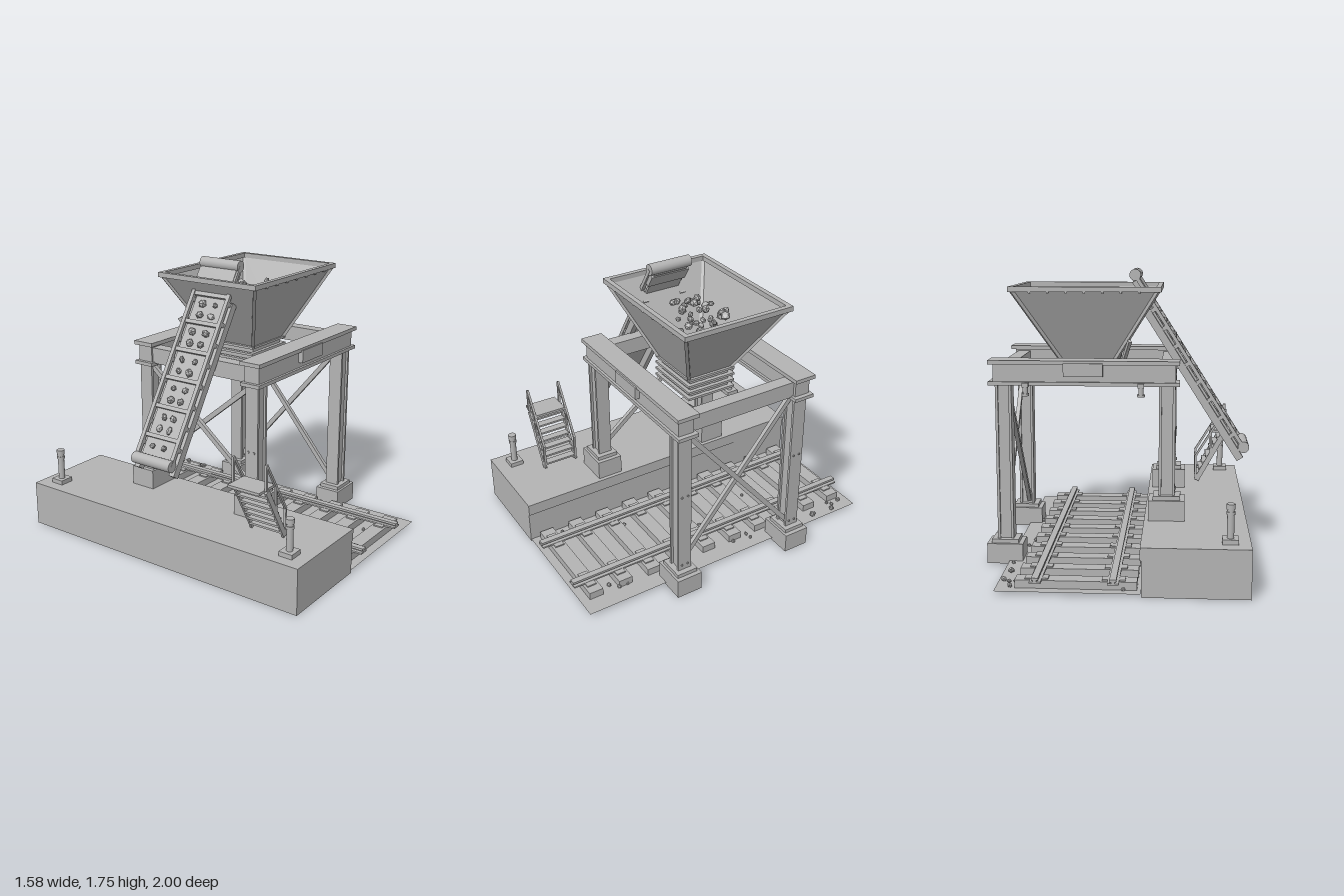
import * as THREE from 'three';

const grey = new THREE.MeshStandardMaterial({ color: 0xb4b4b4, side: THREE.DoubleSide });
grey.name = 'plain grey';

let seed = 7;
const rnd = () => (seed = (seed * 16807) % 2147483647) / 2147483647;
const V = (x, y, z) => new THREE.Vector3(x, y, z);

export function createModel() {
  const root = new THREE.Group();
  root.name = 'hopperLoadingStation';

  const add = (name, geo, parent = root) => {
    const m = new THREE.Mesh(geo, grey);
    m.name = name;
    parent.add(m);
    return m;
  };
  // box from min/max extents
  const box = (name, x0, x1, y0, y1, z0, z1, parent) => {
    const m = add(name, new THREE.BoxGeometry(x1 - x0, y1 - y0, z1 - z0), parent);
    m.position.set((x0 + x1) / 2, (y0 + y1) / 2, (z0 + z1) / 2);
    return m;
  };
  // rectangular bar between two points
  const bar = (name, p, q, w, h, parent) => {
    const m = add(name, new THREE.BoxGeometry(w, h, p.distanceTo(q)), parent);
    m.position.copy(p).add(q).multiplyScalar(0.5);
    m.lookAt(q);
    return m;
  };
  const cyl = (name, x, y, z, r, h, parent, sides = 16) => {
    const m = add(name, new THREE.CylinderGeometry(r, r, h, sides), parent);
    m.position.set(x, y, z);
    return m;
  };
  const rock = (name, x, y, z, r, parent) => {
    const g = new THREE.IcosahedronGeometry(r, 0);
    g.scale(0.7 + rnd() * 0.6, 0.7 + rnd() * 0.6, 0.7 + rnd() * 0.6);
    g.computeVertexNormals();
    const m = add(name, g, parent);
    m.position.set(x, y, z);
    m.rotation.set(rnd() * 6, rnd() * 6, rnd() * 6);
  };
  // rectangular rings [y, x0, x1, halfZ] joined into flat walls
  const rectLoft = (name, rings, parent) => {
    const pos = [];
    const ring = ([y, x0, x1, z]) => [V(x0, y, z), V(x1, y, z), V(x1, y, -z), V(x0, y, -z)];
    for (let i = 0; i < rings.length - 1; i++) {
      const a = ring(rings[i]), b = ring(rings[i + 1]);
      for (let k = 0; k < 4; k++) {
        const n = (k + 1) % 4;
        [a[k], a[n], b[n], a[k], b[n], b[k]].forEach(v => pos.push(v.x, v.y, v.z));
      }
    }
    const g = new THREE.BufferGeometry();
    g.setAttribute('position', new THREE.Float32BufferAttribute(pos, 3));
    g.computeVertexNormals();
    return add(name, g, parent);
  };
  // rectangular frame of four bars
  const frame = (name, x0, x1, y0, y1, z, t, parent) => {
    for (const s of [-1, 1]) box(name, x0, x1, y0, y1, s * z - t / 2, s * z + t / 2, parent);
    box(name, x0 - t / 2, x0 + t / 2, y0, y1, -z - t / 2, z + t / 2, parent);
    box(name, x1 - t / 2, x1 + t / 2, y0, y1, -z - t / 2, z + t / 2, parent);
  };
  const group = (name) => {
    const g = new THREE.Group();
    g.name = name;
    root.add(g);
    return g;
  };

  // loading dock
  box('dockBody', -0.765, -0.165, 0, 0.208, -1, 1);
  box('dockSlab', -0.765, -0.157, 0.208, 0.282, -1, 1);

  // ground and track
  const track = group('track');
  const ground = add('ground', new THREE.PlaneGeometry(0.81, 2).rotateX(-Math.PI / 2), track);
  ground.position.set(0.245, 0.018, 0);
  for (let i = 0; i < 10; i++) {
    const z = -0.9 + i * 0.2;
    box('sleeper', -0.14, 0.54, 0.02, 0.066, z - 0.045, z + 0.045, track);
    for (const x of [-0.01, 0.42]) box('tiePlate', x - 0.065, x + 0.065, 0.066, 0.074, z - 0.03, z + 0.03, track);
  }
  for (const x of [-0.01, 0.42]) {
    box('railFoot', x - 0.032, x + 0.032, 0.066, 0.076, -1, 1, track);
    box('railWeb', x - 0.01, x + 0.01, 0.074, 0.086, -1, 1, track);
    box('railHead', x - 0.019, x + 0.019, 0.084, 0.098, -1, 1, track);
  }
  for (let i = 0; i < 26; i++) rock('gravel', -0.12 + rnd() * 0.74, 0.025, -0.95 + rnd() * 1.9, 0.012, track);
  for (let i = 0; i < 6; i++) rock('gravel', 0.56 + rnd() * 0.06, 0.03, -0.95 + rnd() * 0.28, 0.016, track);

  // legs, footings and cross bracing
  const steel = group('supportFrame');
  for (const [x, y0] of [[0.677, 0], [-0.29, 0.282]]) {
    for (const z of [-0.4, 0.4]) {
      box('footing', x - 0.108, x + 0.108, y0, y0 + 0.122, z - 0.083, z + 0.083, steel);
      box('footingCap', x - 0.081, x + 0.081, y0 + 0.122, y0 + 0.146, z - 0.068, z + 0.068, steel);
      for (const s of [-1, 1])
        box('legFlange', x + s * 0.04 - 0.008, x + s * 0.04 + 0.008, y0 + 0.14, 1.085, z - 0.044, z + 0.044, steel);
      box('legWeb', x - 0.035, x + 0.035, y0 + 0.14, 1.085, z - 0.03, z + 0.03, steel);
      for (const y of [y0 + 0.18, 0.675]) for (const dz of [-0.02, 0.02])
        cyl('legBolt', x + Math.sign(x) * 0.05, y, z + dz, 0.007, 0.008, steel, 6).rotation.z = Math.PI / 2;
    }
    for (const s of [-1, 1]) {
      const bx = x + s * 0.014;
      bar('brace', V(bx, y0 + 0.17, -s * 0.38), V(bx, 1.08, s * 0.38), 0.026, 0.03, steel);
    }
    // cross beams
    box('crossBeam', x - 0.04, x + 0.04, 1.097, 1.195, -0.36, 0.36, steel);
  }
  // long beams
  for (const s of [-1, 1]) {
    const z = s * 0.4;
    box('beamLowerFlange', -0.363, 0.762, 1.082, 1.104, z - 0.066, z + 0.066, steel);
    box('beamUpperFlange', -0.363, 0.762, 1.206, 1.23, z - 0.07, z + 0.07, steel);
    box('beamWeb', -0.34, 0.735, 1.1, 1.21, z - 0.05, z + 0.05, steel);
    box('beamPlate', 0.085, 0.317, 1.138, 1.216, z + s * 0.045 - 0.035, z + s * 0.045 + 0.035, steel);
  }
  // hanging lamps under the back beam
  for (const x of [-0.137, 0.54]) {
    box('lampBracket', x - 0.018, x + 0.018, 1.075, 1.1, -0.485, -0.44, steel);
    cyl('lampStem', x, 1.06, -0.47, 0.015, 0.06, steel);
    cyl('lampHead', x, 1.03, -0.47, 0.023, 0.014, steel);
  }

  // hopper
  const hopper = group('hopper');
  const top = { y: 1.635, x0: -0.235, x1: 0.64, z: 0.345 }, bot = { y: 1.2, x0: 0.035, x1: 0.37, z: 0.15 };
  rectLoft('hopperWalls', [
    [1.04, 0.05, 0.355, 0.138], [1.19, 0.05, 0.355, 0.138],
    [bot.y, bot.x0, bot.x1, bot.z], [top.y, top.x0, top.x1, top.z]], hopper);
  frame('hopperRim', top.x0, top.x1, 1.622, 1.652, top.z, 0.03, hopper);
  for (const k of ['x0', 'x1']) for (const s of [-1, 1])
    bar('hopperCornerRib', V(bot[k], bot.y, s * bot.z), V(top[k], top.y, s * top.z), 0.02, 0.02, hopper);
  for (let i = 0; i < 7; i++) for (const s of [-1, 1])
    cyl('rimBolt', -0.12 + i * 0.108, 1.618, s * 0.35, 0.007, 0.014, hopper, 6).rotation.x = Math.PI / 2;
  // ribbed outlet
  for (let i = 0; i < 4; i++) {
    const y = 1.062 + i * 0.042;
    frame('outletRing', 0.025, 0.375, y, y + 0.014, 0.148, 0.026, hopper);
  }
  for (let i = 0; i < 4; i++) box('grateBar', 0.05, 0.355, 1.15, 1.18, -0.1 + i * 0.06, -0.08 + i * 0.06, hopper);
  // gate lever
  bar('gateLever', V(-0.065, 1.335, -0.345), V(-0.02, 1.2, -0.25), 0.02, 0.026, hopper);
  bar('gateLink', V(-0.02, 1.2, -0.25), V(0.05, 1.06, -0.14), 0.014, 0.014, hopper);
  // falling ore
  for (let i = 0; i < 36; i++) {
    const a = rnd() * 6.28, r = 0.04 + rnd() * 0.19;
    rock('ore', 0.2 + r * Math.cos(a), 1.4 + rnd() * 0.16, r * Math.sin(a) * 0.9, 0.018 + rnd() * 0.008, hopper);
  }

  // conveyor: local x runs up the slope, local y points out of the belt
  const conveyor = group('conveyor');
  conveyor.position.set(-0.757, 0.66, 0);
  conveyor.rotation.z = Math.atan2(1.055, 0.672);
  const L = 1.25;
  box('belt', 0, L - 0.02, -0.034, -0.02, -0.115, 0.115, conveyor);
  for (const s of [-1, 1]) {
    const z = s * 0.13;
    box('sideBeam', -0.05, 1.03, -0.08, -0.034, z - 0.018, z + 0.018, conveyor);
    box('sideRail', 0, L, -0.012, 0.01, z - 0.012, z + 0.012, conveyor);
    for (let i = 0; i < 8; i++) box('railPost', 0.09 + i * 0.13, 0.115 + i * 0.13, -0.036, -0.01, z - 0.01, z + 0.01, conveyor);
  }
  for (let i = 0; i < 6; i++) {
    const x = 0.15 + i * 0.18;
    box('cleat', x - 0.012, x + 0.012, -0.022, 0.004, -0.125, 0.125, conveyor);
    for (const dx of [-0.1, 0.08]) for (const z of [-0.045, 0.045])
      rock('beltOre', x + dx * 0.6, -0.006, z + (rnd() - 0.5) * 0.03, 0.022, conveyor);
  }
  for (const x of [0, L]) cyl('drum', x, 0, 0, 0.035, 0.28, conveyor, 20).rotation.x = Math.PI / 2;
  box('headHood', L - 0.12, L - 0.03, -0.04, 0.014, -0.13, 0.13, conveyor);

  // stairs
  const stairs = group('stairs');
  box('landing', -0.735, -0.575, 0.622, 0.638, 0.515, 0.725, stairs);
  for (const z of [0.51, 0.73]) {
    bar('stringer', V(-0.665, 0.625, z), V(-0.478, 0.29, z), 0.014, 0.034, stairs);
    bar('handrail', V(-0.672, 0.785, z), V(-0.47, 0.455, z), 0.014, 0.014, stairs);
    for (const [x, y0, y1] of [[-0.672, 0.63, 0.785], [-0.575, 0.46, 0.625], [-0.472, 0.29, 0.455]])
      box('railPost', x - 0.007, x + 0.007, y0, y1, z - 0.007, z + 0.007, stairs);
  }
  for (let i = 0; i < 7; i++) {
    const x = -0.49 - i * 0.0245, y = 0.32 + i * 0.044;
    box('step', x - 0.025, x + 0.025, y - 0.006, y + 0.006, 0.51, 0.73, stairs);
  }

  // bollards
  for (const z of [-0.875, 0.875]) {
    box('bollardBase', -0.695, -0.605, 0.282, 0.31, z - 0.043, z + 0.043);
    cyl('bollardPost', -0.65, 0.395, z, 0.02, 0.18);
    cyl('bollardCollar', -0.65, 0.452, z, 0.025, 0.016);
    cyl('bollardCap', -0.65, 0.488, z, 0.025, 0.03);
  }
  return root;
}
